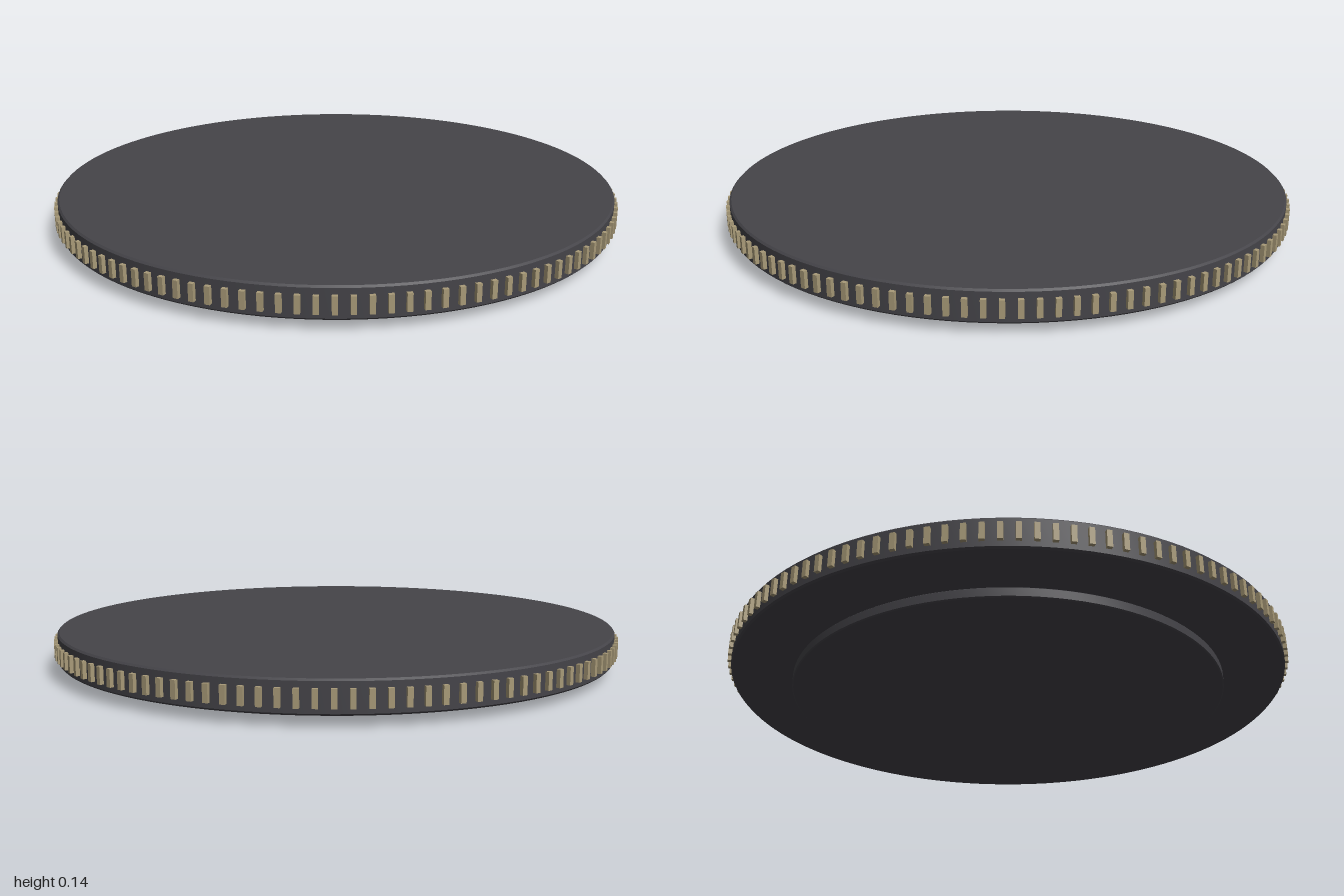
import * as THREE from 'three';
import { toCreasedNormals } from 'three/addons/utils/BufferGeometryUtils.js';

export function createModel() {
  const model = new THREE.Group();
  model.name = 'ribbedCap';

  const charcoal = new THREE.MeshStandardMaterial({ color: 0x454449 });
  charcoal.name = 'charcoal';
  const tan = new THREE.MeshStandardMaterial({ color: 0xa89a78 });
  tan.name = 'tan';

  // Solid disc with small bevels on both rims
  function disc(name, radius, bottom, top, bevel) {
    const profile = [
      [0, bottom], [radius - bevel, bottom], [radius, bottom + bevel],
      [radius, top - bevel], [radius - bevel, top], [0, top],
    ].map(([r, y]) => new THREE.Vector2(r, y));
    const geometry = toCreasedNormals(new THREE.LatheGeometry(profile, 120), 0.5);
    const mesh = new THREE.Mesh(geometry, charcoal);
    mesh.name = name;
    model.add(mesh);
  }
  disc('mainDisc', 0.987, 0.034, 0.138, 0.006);
  disc('lowerDisc', 0.775, 0, 0.036, 0.004);

  // Grip ribs spaced evenly around the rim
  const ribs = new THREE.Group();
  ribs.name = 'gripRibs';
  const ribGeometry = new THREE.BoxGeometry(0.017, 0.056, 0.03);
  const count = 120;
  for (let i = 0; i < count; i++) {
    const angle = (i / count) * Math.PI * 2;
    const rib = new THREE.Mesh(ribGeometry, tan);
    rib.name = 'gripRib';
    rib.position.set(Math.sin(angle) * 0.985, 0.085, Math.cos(angle) * 0.985);
    rib.rotation.y = angle;
    ribs.add(rib);
  }
  model.add(ribs);

  return model;
}
